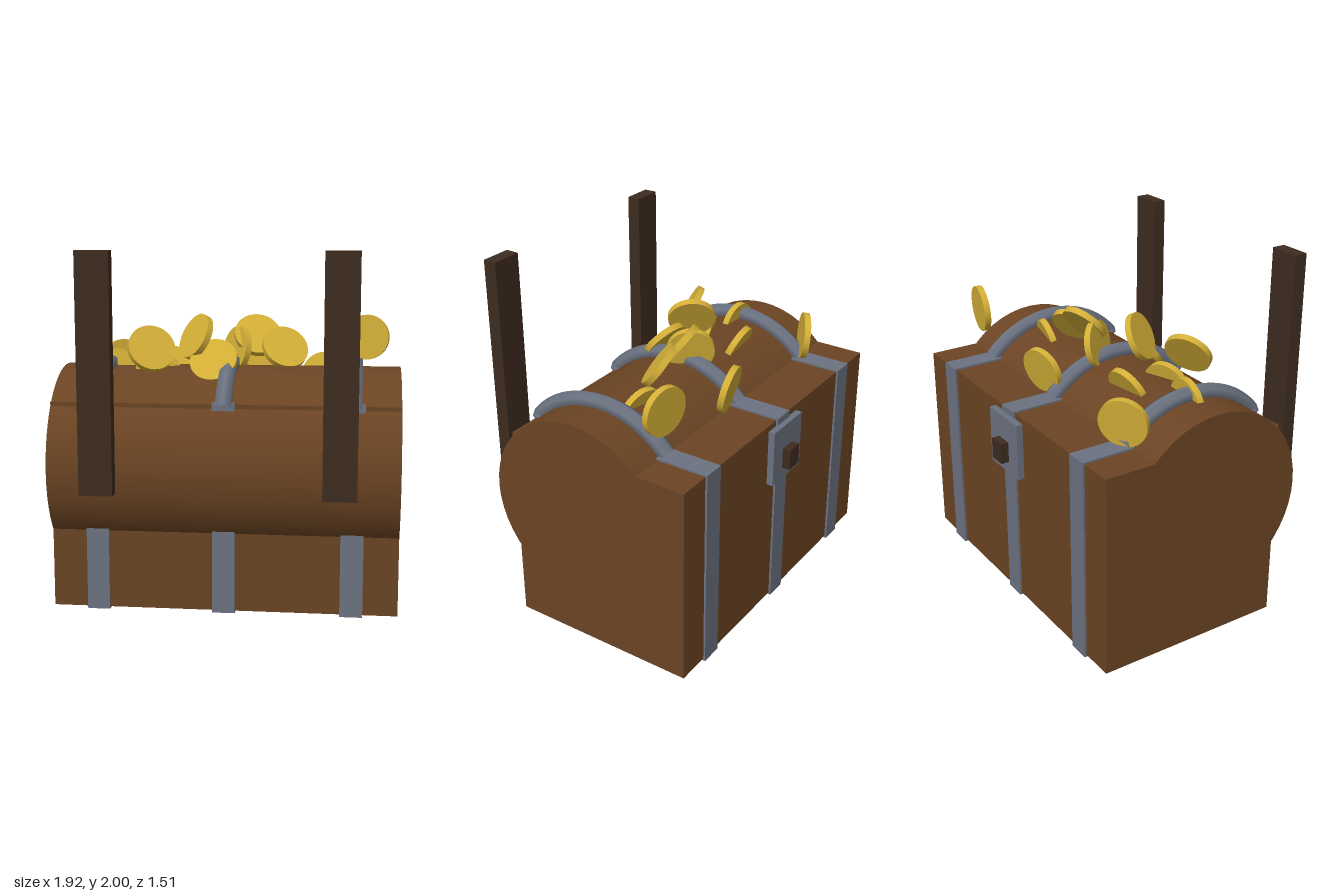
import * as THREE from 'three';

const material = (name, color) => {
  const m = new THREE.MeshStandardMaterial({ color });
  m.name = name;
  return m;
};

export function createModel() {
  const wood = material('brown wood', 0x6b4423);
  const darkWood = material('dark wood', 0x3e2c20);
  const iron = material('grey iron', 0x6b7280);
  const gold = material('gold', 0xd4af37);

  const model = new THREE.Group();
  model.name = 'treasureChest';

  const add = (name, geometry, mat, parent = model) => {
    const mesh = new THREE.Mesh(geometry, mat);
    mesh.name = name;
    parent.add(mesh);
    return mesh;
  };

  // Box given by its limits on each axis
  const block = (name, [x0, x1], [y0, y1], [z0, z1], mat, parent) => {
    const mesh = add(name, new THREE.BoxGeometry(x1 - x0, y1 - y0, z1 - z0), mat, parent);
    mesh.position.set((x0 + x1) / 2, (y0 + y1) / 2, (z0 + z1) / 2);
    return mesh;
  };

  // Chest body and barrel lid
  const lidY = 0.8, lidZ = 0.02;
  block('chestBody', [-0.96, 0.96], [0.012, 1.17], [-0.665, 0.432], wood);
  const lid = add('barrelLid', new THREE.CylinderGeometry(0.54, 0.54, 1.92, 48).rotateZ(Math.PI / 2), wood);
  lid.position.set(0, lidY, lidZ);

  // Iron straps around the body, with a rounded bar arching over the lid
  const front = THREE.MathUtils.degToRad(47);
  const back = THREE.MathUtils.degToRad(51);
  const barGeometry = new THREE.TorusGeometry(0.555, 0.05, 6, 24, front + back)
    .rotateZ(Math.PI / 2 - back)
    .rotateY(-Math.PI / 2);
  const barMaterial = iron;
  for (const x of [-0.705, 0, 0.705]) {
    const band = new THREE.Group();
    band.name = 'ironBand';
    model.add(band);
    block('bodyStrap', [x - 0.063, x + 0.063], [0, 1.18], [-0.677, 0.442], iron, band);
    const bar = add('lidBar', barGeometry, barMaterial, band);
    bar.position.set(x, lidY, lidZ);
    // Flat caps closing the cut ends of the bar
    for (const [angle, turn] of [[front, 0], [-back, Math.PI]]) {
      const cap = add('barEnd', new THREE.CircleGeometry(0.05, 6, Math.PI / 2), iron, band);
      cap.position.set(x, lidY + 0.555 * Math.cos(angle), lidZ + 0.555 * Math.sin(angle));
      cap.rotation.x = angle + turn;
    }
  }

  // Lock
  block('lockPlate', [-0.15, 0.15], [0.81, 1.14], [-0.708, -0.67], iron);
  block('keyBlock', [-0.05, 0.05], [0.88, 1.0], [-0.755, -0.7], darkWood);

  // Upright posts
  for (const x of [-0.64, 0.64]) {
    block('post', [x - 0.09, x + 0.09], [0.72, 2], [0.678, 0.755], darkWood);
  }

  // Coins: centre, then the direction the face points
  const coins = [
    [-0.43, 1.45, 0.22, 0.4, 0.5, 0.77],
    [-0.2, 1.505, 0.06, -0.7, 0.42, 0.52],
    [-0.085, 1.38, 0.17, -0.1, 0.62, 0.77],
    [0.02, 1.42, -0.08, -0.8, 0.2, 0.55],
    [0.14, 1.505, -0.09, 0.2, 0.63, 0.75],
    [0.3, 1.435, -0.06, 0.35, 0.6, 0.72],
    [0.53, 1.275, -0.1, -0.2, 0.25, 0.95],
    [0.77, 1.47, -0.42, -0.18, 0.05, 0.98],
    [0.105, 1.3, -0.39, 0.22, 0.2, 0.95],
    [-0.72, 1.31, -0.4, 0.57, 0.1, 0.8],
    [-0.67, 1.295, 0.04, -0.05, 0.1, 1],
    [-0.38, 1.3, -0.14, 0.1, 0.4, 0.9],
    [-0.415, 1.29, 0.09, 0.35, 0.22, 0.9],
  ];
  const pile = new THREE.Group();
  pile.name = 'coins';
  model.add(pile);
  const coinGeometry = new THREE.CylinderGeometry(0.135, 0.135, 0.036, 32);
  const up = new THREE.Vector3(0, 1, 0);
  for (const [x, y, z, nx, ny, nz] of coins) {
    const coin = add('coin', coinGeometry, gold, pile);
    coin.position.set(x, y, z);
    coin.quaternion.setFromUnitVectors(up, new THREE.Vector3(nx, ny, nz).normalize());
  }

  return model;
}
